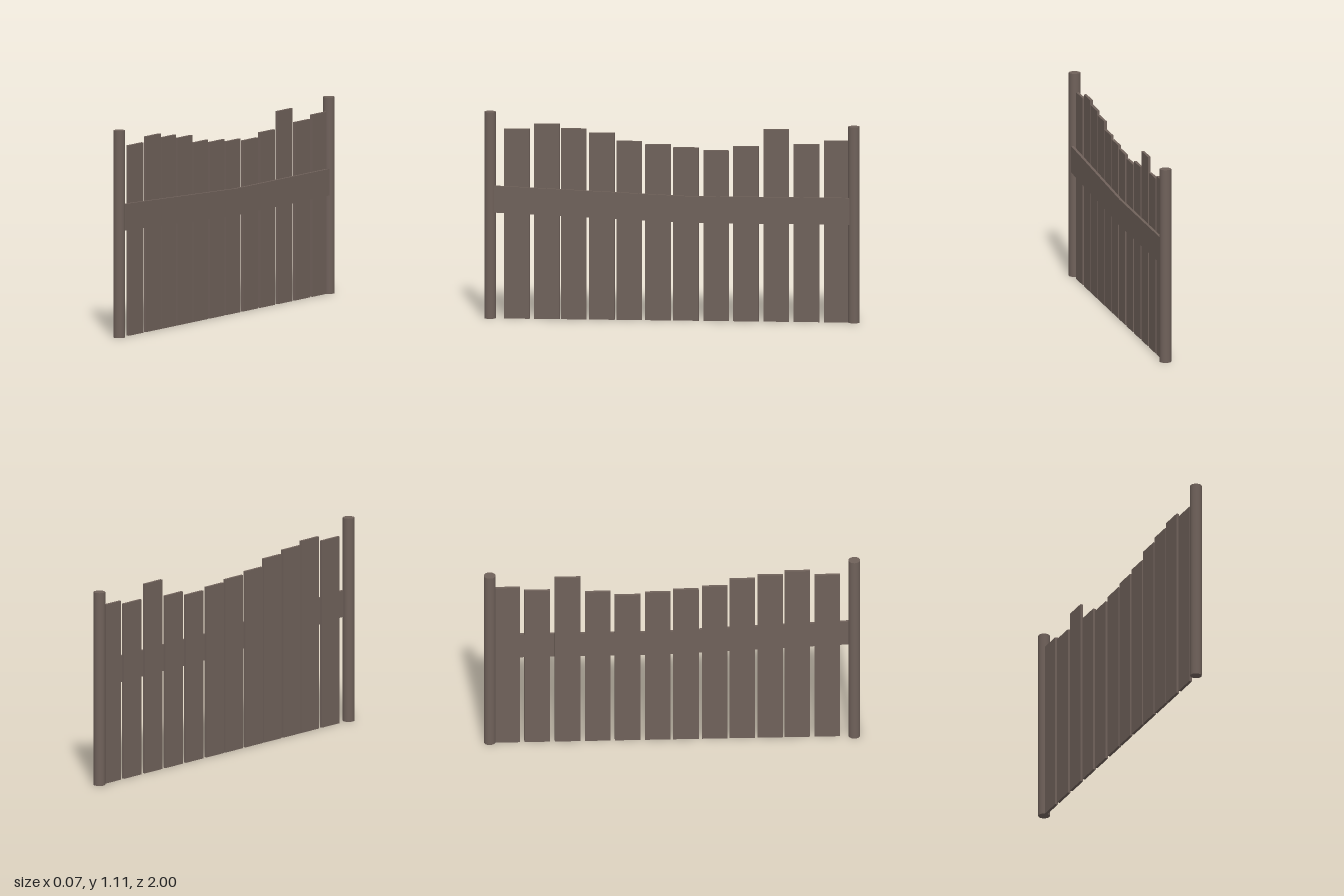
import * as THREE from 'three';

export function createModel() {
  const fence = new THREE.Group();
  fence.name = 'fence';
  const wood = new THREE.MeshStandardMaterial({ color: 0x6f615a });
  wood.name = 'weathered wood';

  const add = (geometry, name, x, y, z) => {
    const mesh = new THREE.Mesh(geometry, wood);
    mesh.name = name;
    mesh.position.set(x, y, z);
    fence.add(mesh);
  };

  // Round end posts: [name, x, z, height]
  for (const [name, x, z, h] of [
    ['frontPost', -0.003, 0.969, 1.112],
    ['backPost', 0.001, -0.969, 1.055],
  ]) {
    add(new THREE.CylinderGeometry(0.031, 0.031, h, 24), name, x, h / 2, z);
  }

  // Upright planks of uneven height: [centre z, height]
  const planks = [
    [0.826, 1.022], [0.666, 1.05], [0.523, 1.027], [0.373, 1.006],
    [0.228, 0.963], [0.074, 0.947], [-0.075, 0.932], [-0.236, 0.918],
    [-0.394, 0.942], [-0.555, 1.036], [-0.717, 0.957], [-0.877, 0.978],
  ];
  planks.forEach(([z, h], i) => {
    add(new THREE.BoxGeometry(0.015, h, 0.136), `plank${i + 1}`, 0, h / 2, z);
  });

  // Cross rail, sloping down to the middle and then level; shape x runs along -z
  const rail = new THREE.Shape([
    [-0.945, 0.572], [0.08, 0.529], [0.95, 0.529],
    [0.95, 0.672], [0.08, 0.672], [-0.945, 0.716],
  ].map(([x, y]) => new THREE.Vector2(x, y)));
  const railGeometry = new THREE.ExtrudeGeometry(rail, { depth: 0.015, bevelEnabled: false });
  railGeometry.rotateY(Math.PI / 2);
  add(railGeometry, 'crossRail', 0.007, 0, 0);

  return fence;
}
